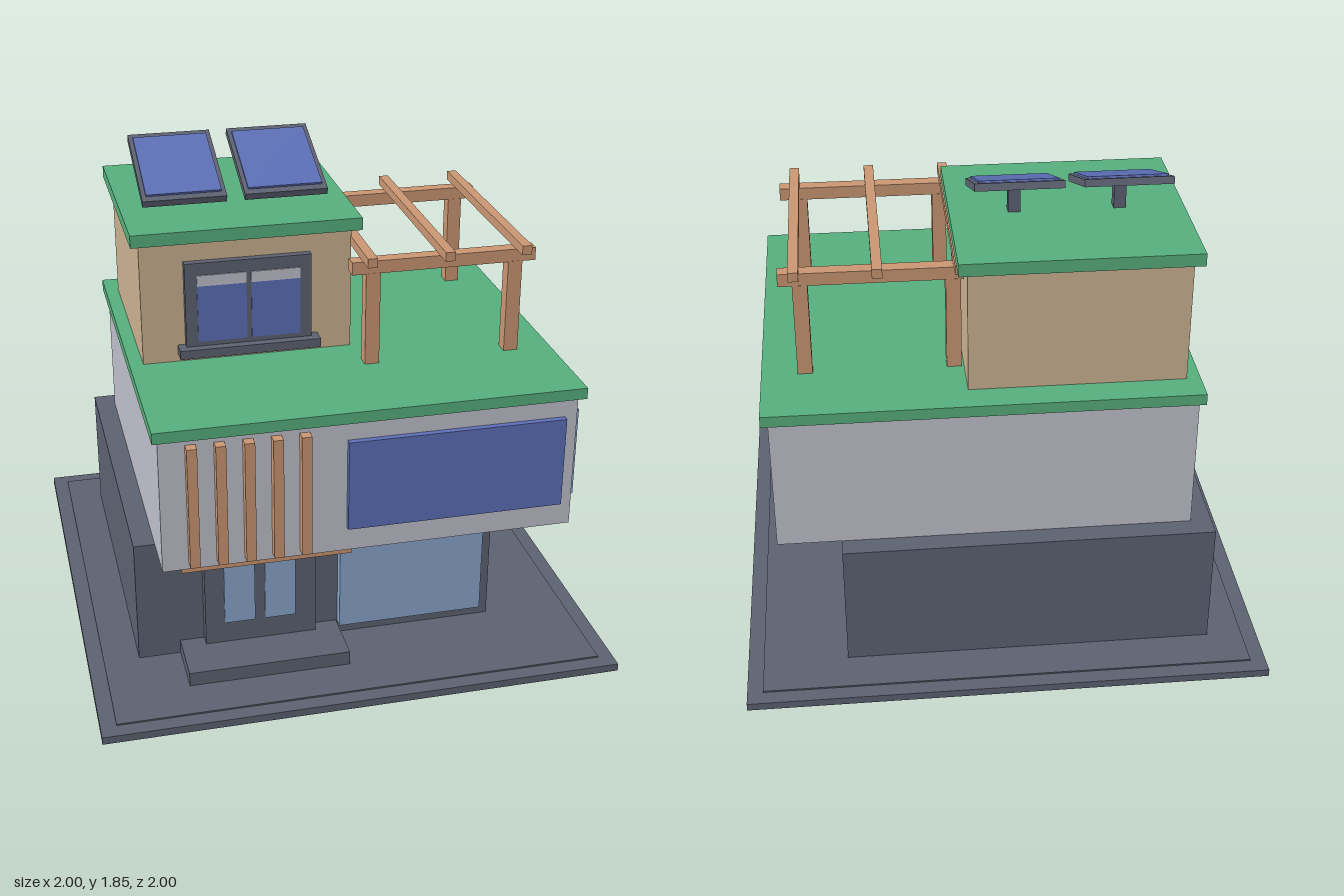
import * as THREE from 'three';

const mat = (name, color) => {
  const m = new THREE.MeshStandardMaterial({ color });
  m.name = name;
  return m;
};

export function createModel() {
  const slate = mat('slate', 0x5c6171);
  const wall = mat('paleWall', 0xbfbfca);
  const tan = mat('tanWall', 0xc9b090);
  const green = mat('greenRoof', 0x56ae7c);
  const wood = mat('wood', 0xc99572);
  const deepGlass = mat('deepBlueGlass', 0x5c6eb6);
  const paleGlass = mat('paleBlueGlass', 0x88a4cb);

  const house = new THREE.Group();
  house.name = 'house';
  const group = (name) => {
    const g = new THREE.Group();
    g.name = name;
    house.add(g);
    return g;
  };
  // Box given by its extents on each axis
  const box = (parent, name, material, x0, x1, y0, y1, z0, z1) => {
    const mesh = new THREE.Mesh(new THREE.BoxGeometry(x1 - x0, y1 - y0, z1 - z0), material);
    mesh.position.set((x0 + x1) / 2, (y0 + y1) / 2, (z0 + z1) / 2);
    mesh.name = name;
    parent.add(mesh);
    return mesh;
  };

  // Plot with a slightly raised inner slab
  box(house, 'basePlate', slate, -1, 1, 0, 0.03, -1, 1);
  box(house, 'innerPaving', slate, -0.94, 0.94, 0.03, 0.036, -0.94, 0.94);

  // Stacked storeys and roofs
  box(house, 'groundFloor', slate, -0.803, 0.615, 0.036, 0.538, -0.778, 0.545);
  box(house, 'middleFloor', wall, -0.722, 0.858, 0.538, 1.076, -0.697, 0.746);
  box(house, 'terraceRoof', green, -0.743, 0.884, 1.076, 1.12, -0.72, 0.768);
  box(house, 'topFloor', tan, -0.69, 0.125, 1.12, 1.606, -0.601, 0.185);
  box(house, 'topRoof', green, -0.722, 0.16, 1.606, 1.655, -0.64, 0.22);

  // Entrance: step, double door, canopy
  const entrance = group('entrance');
  box(entrance, 'step', slate, -0.64, -0.015, 0.036, 0.092, 0.545, 0.77);
  box(entrance, 'door', slate, -0.545, -0.11, 0.092, 0.5, 0.545, 0.592);
  box(entrance, 'canopy', wood, -0.65, -0.003, 0.516, 0.538, 0.545, 0.736);
  for (const x of [-0.47, -0.31]) {
    box(entrance, 'doorPane', paleGlass, x, x + 0.12, 0.18, 0.44, 0.592, 0.597);
  }

  // Large windows
  box(house, 'groundWindow', paleGlass, -0.01, 0.57, 0.09, 0.47, 0.545, 0.585);
  box(house, 'middleFrontWindow', deepGlass, -0.027, 0.81, 0.638, 1.0, 0.746, 0.77);
  box(house, 'middleSideWindow', paleGlass, 0.858, 0.884, 0.638, 1.0, -0.09, 0.70);

  // Vertical wooden slats
  const slats = group('facadeSlats');
  for (let i = 0; i < 5; i++) {
    const x = -0.605 + i * 0.1045;
    box(slats, 'slat', wood, x - 0.019, x + 0.019, 0.563, 1.05, 0.746, 0.786);
  }

  // Top floor window with half-lowered blinds
  const window = group('topWindow');
  box(window, 'windowFrame', slate, -0.525, -0.038, 1.185, 1.525, 0.185, 0.215);
  box(window, 'windowSill', slate, -0.555, -0.008, 1.153, 1.188, 0.185, 0.25);
  for (const x of [-0.479, -0.271]) {
    box(window, 'windowPane', deepGlass, x, x + 0.189, 1.207, 1.433, 0.215, 0.219);
    box(window, 'blind', wall, x, x + 0.189, 1.433, 1.476, 0.215, 0.219);
  }

  // Pergola on the terrace
  const pergola = group('pergola');
  for (const z of [0.348, -0.4]) {
    for (const x of [0.162, 0.72]) {
      box(pergola, 'post', wood, x - 0.028, x + 0.028, 1.12, 1.49, z - 0.028, z + 0.028);
    }
    box(pergola, 'beam', wood, 0.08, 0.8, 1.488, 1.538, z - 0.027, z + 0.027);
  }
  for (const x of [0.141, 0.44, 0.74]) {
    box(pergola, 'rafter', wood, x - 0.019, x + 0.019, 1.538, 1.574, -0.49, 0.442);
  }

  // Tilted solar panels on short posts
  for (const x of [-0.478, -0.082]) {
    const solar = group('solarUnit');
    box(solar, 'panelPost', slate, x - 0.023, x + 0.023, 1.655, 1.755, -0.23, -0.185);
    const panel = new THREE.Group();
    panel.name = 'solarPanel';
    panel.position.set(x, 1.764, -0.21);
    panel.rotation.x = 0.365;
    box(panel, 'panelFrame', slate, -0.163, 0.163, -0.014, 0.014, -0.208, 0.208);
    box(panel, 'solarCells', deepGlass, -0.146, 0.146, 0.014, 0.022, -0.179, 0.179);
    solar.add(panel);
  }

  return house;
}
